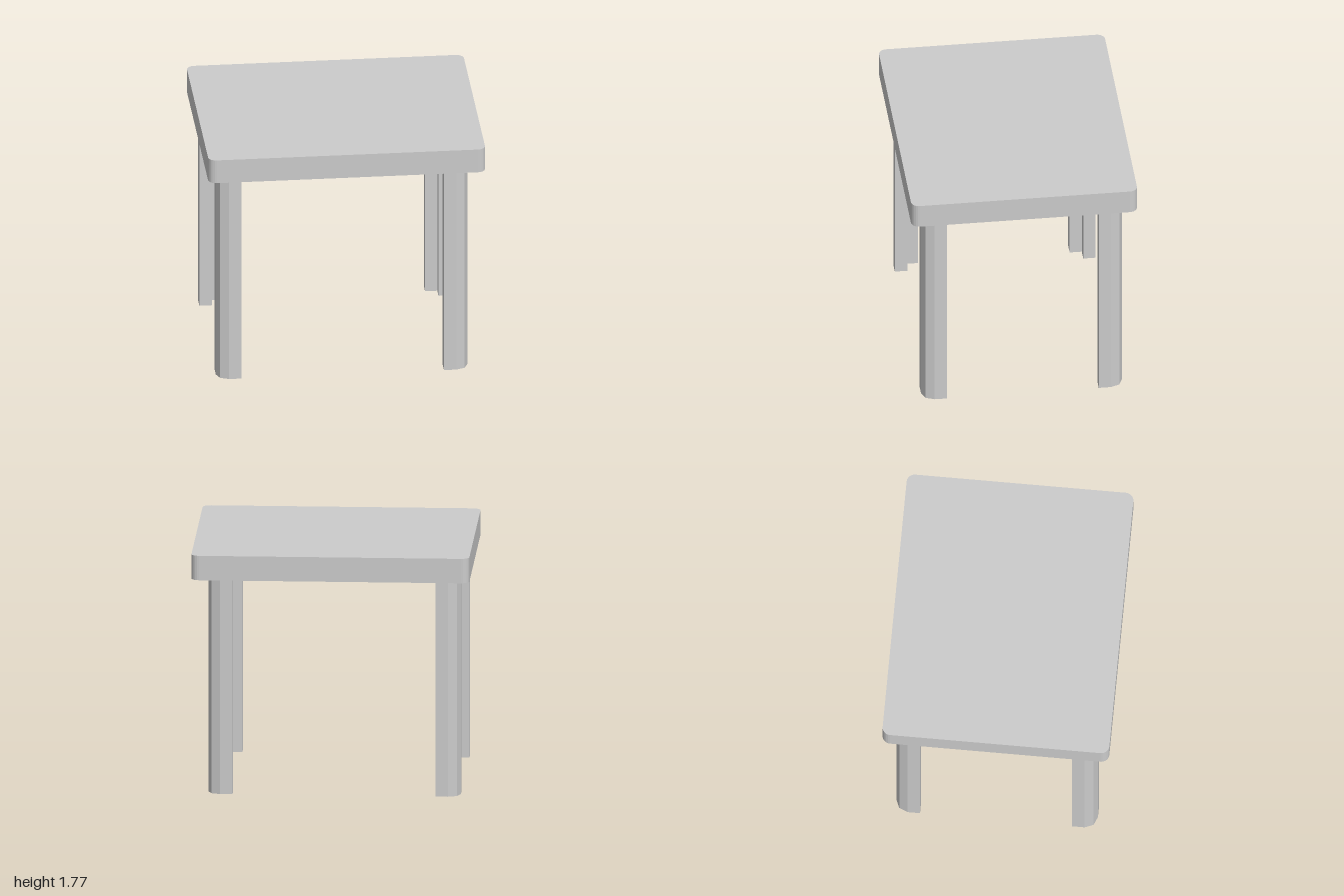
import * as THREE from 'three';

const material = new THREE.MeshStandardMaterial({ color: 0xcccccc, flatShading: true });

// Extrude a plan outline (x, -z) upwards from height y
function prism(name, shape, y, height, curveSegments) {
  const geometry = new THREE.ExtrudeGeometry(shape, { depth: height, bevelEnabled: false, curveSegments });
  geometry.rotateX(-Math.PI / 2);
  const mesh = new THREE.Mesh(geometry, material);
  mesh.name = name;
  mesh.position.y = y;
  return mesh;
}

// Rectangle with rounded corners
function topShape(w, d, r) {
  const s = new THREE.Shape();
  s.absarc(w - r, d - r, r, 0, Math.PI / 2);
  s.absarc(r - w, d - r, r, Math.PI / 2, Math.PI);
  s.absarc(r - w, r - d, r, Math.PI, Math.PI * 1.5);
  s.absarc(w - r, r - d, r, Math.PI * 1.5, Math.PI * 2);
  s.closePath();
  return s;
}

// L-shaped section: outer corner at the origin, arms running inwards
function legShape(sx, sz, size, t, r) {
  const points = [[size, 0], [size, t], [t, t], [t, size], [0, size], [0, r]];
  const k = r * (1 - Math.SQRT1_2);
  points.push([k, k], [r, 0]); // eased outer corner
  return new THREE.Shape(points.map(([a, b]) => new THREE.Vector2(-sx * a, sz * b)));
}

export function createModel() {
  const group = new THREE.Group();
  group.name = 'table';
  const legHeight = 1.595;

  group.add(prism('tableTop', topShape(1, 0.818, 0.058), legHeight, 0.18, 3));

  // Four angle-section legs; the left and right pairs have different insets
  for (const [side, sx, x] of [['Left', 1, 0.885], ['Right', -1, -0.932]]) {
    for (const [end, sz] of [['front', 1], ['back', -1]]) {
      const leg = prism(`${end}${side}Leg`, legShape(sx, sz, 0.178, 0.09, 0.088), 0, legHeight, 2);
      leg.position.x = x;
      leg.position.z = sz * 0.727;
      group.add(leg);
    }
  }
  return group;
}
